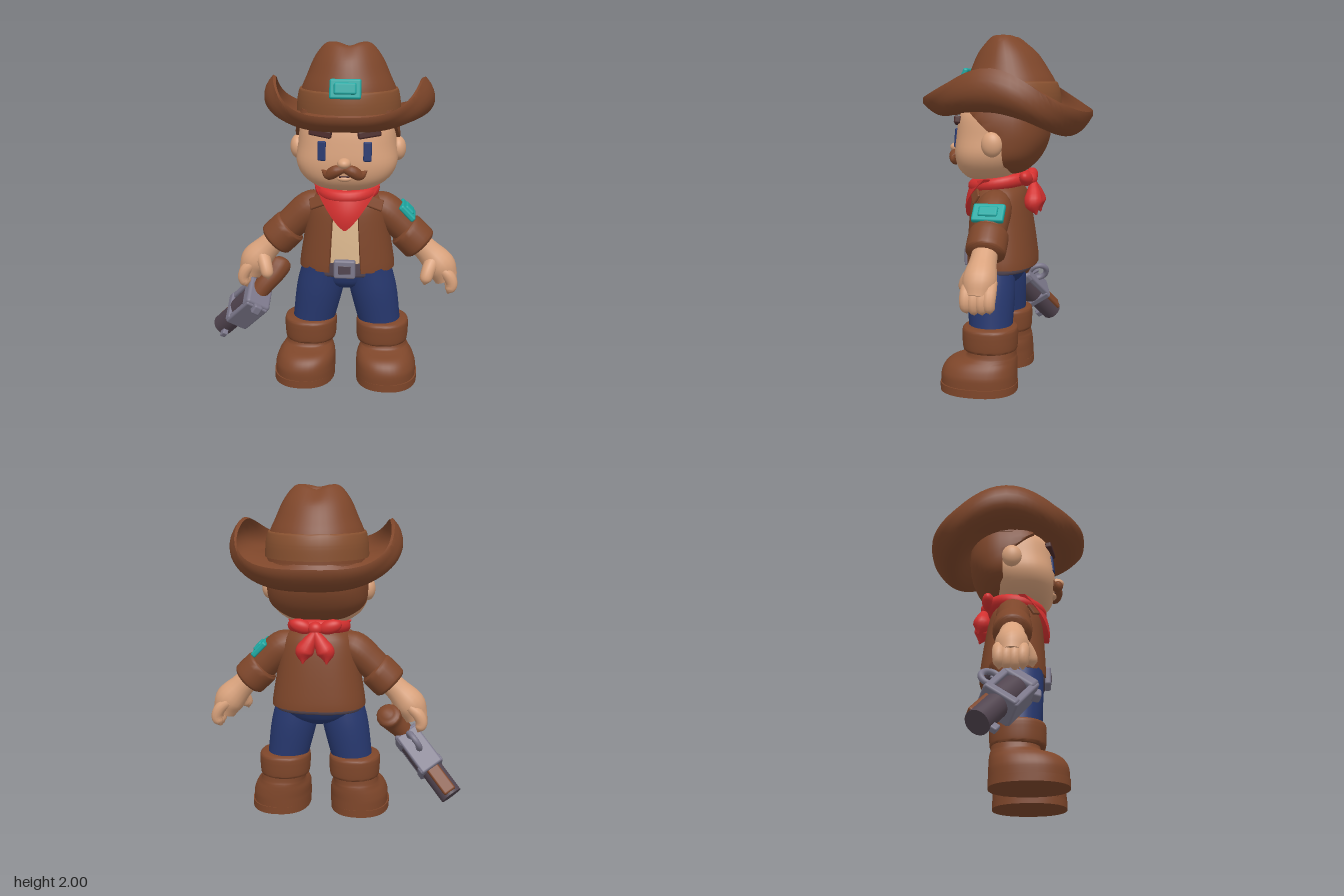
import * as THREE from 'three';
import { toCreasedNormals } from 'three/addons/utils/BufferGeometryUtils.js';
import { RoundedBoxGeometry } from 'three/addons/geometries/RoundedBoxGeometry.js';

const V = (x, y, z) => new THREE.Vector3(x, y, z);
const paint = (name, color) => { const m = new THREE.MeshStandardMaterial({ color }); m.name = name; return m; };
const M = {
  leather: paint('leather brown', 0x7e462a), trim: paint('trim brown', 0x87502f), skin: paint('skin', 0xd9a27c),
  shirt: paint('cream shirt', 0xdcb88e), red: paint('bandana red', 0xd4302f), denim: paint('denim blue', 0x27386f),
  teal: paint('teal', 0x1ea8a2), steel: paint('steel grey', 0x7c788b), dark: paint('dark metal', 0x51444f),
  brow: paint('dark brown', 0x4b2a29),
};

// Skins a list of closed cross-sections; ends are capped unless it wraps round
function loft(sections, wrap = false) {
  const n = sections[0].length, pts = sections.flat(), idx = [], m = sections.length;
  for (let i = 0; i < (wrap ? m : m - 1); i++) for (let j = 0; j < n; j++) {
    const a = i * n + j, b = i * n + (j + 1) % n, c = ((i + 1) % m) * n + j, d = ((i + 1) % m) * n + (j + 1) % n;
    idx.push(a, b, d, a, d, c);
  }
  if (!wrap) [0, m - 1].forEach((s) => {
    const c = pts.length;
    pts.push(sections[s].reduce((t, p) => t.add(p), V(0, 0, 0)).divideScalar(n));
    for (let j = 0; j < n; j++) {
      const a = s * n + j, b = s * n + (j + 1) % n;
      if (s) idx.push(a, b, c); else idx.push(b, a, c);
    }
  });
  // turn the faces outwards
  let vol = 0;
  for (let i = 0; i < idx.length; i += 3) vol += pts[idx[i]].dot(V(0, 0, 0).crossVectors(pts[idx[i + 1]], pts[idx[i + 2]]));
  if (vol < 0) idx.reverse();
  const g = new THREE.BufferGeometry().setFromPoints(pts);
  g.setIndex(idx);
  return toCreasedNormals(g, 0.9);
}

const bend = (v, e) => Math.sign(v) * Math.abs(v) ** e;
const oval = (a, y, rx, zb, zf, n) => V(rx * bend(Math.sin(a), 2 / n), y, (zf + zb) / 2 + (zf - zb) / 2 * bend(Math.cos(a), 2 / n));
// Smooth in-between rows of [y, halfWidth, backZ, frontZ]
function rows(table, steps) {
  const p = new THREE.SplineCurve(table.map((r) => new THREE.Vector2(r[0], r[1])));
  const q = new THREE.SplineCurve(table.map((r) => new THREE.Vector2(r[2], r[3])));
  return Array.from({ length: steps + 1 }, (_, i) => {
    const a = p.getPoint(i / steps), b = q.getPoint(i / steps);
    return [a.x, Math.max(a.y, 0.001), b.x, b.y];
  });
}
const stack = (table, n = 2.4, cx = 0, rule = (p) => p, steps = 24) => loft(rows(table, steps).map((r) =>
  Array.from({ length: 40 }, (_, j) => { const p = rule(oval(j / 40 * 2 * Math.PI, ...r, n)); p.x += cx; return p; })));

// Tapered tube through points
function sweep(points, radii, steps = 14, sides = 16) {
  const curve = new THREE.CatmullRomCurve3(points.map((p) => V(...p)));
  const f = curve.computeFrenetFrames(steps), rc = new THREE.SplineCurve(radii.map((r, i) => new THREE.Vector2(i, r)));
  return loft(Array.from({ length: steps + 1 }, (_, i) => {
    const c = curve.getPoint(i / steps), t = curve.getTangent(i / steps), r = Math.max(rc.getPoint(i / steps).y, 0.002);
    const u = f.normals[i].clone().addScaledVector(t, -f.normals[i].dot(t)).normalize(), w = V(0, 0, 0).crossVectors(t, u);
    return Array.from({ length: sides }, (_, j) => {
      const a = j / sides * 2 * Math.PI;
      return c.clone().addScaledVector(u, r * Math.cos(a)).addScaledVector(w, r * Math.sin(a));
    });
  }));
}

function add(parent, name, geo, mat, pos = [0, 0, 0], rot = [0, 0, 0], scale = [1, 1, 1]) {
  const m = new THREE.Mesh(geo, mat);
  m.name = name; m.position.set(...pos); m.rotation.set(...rot); m.scale.set(...scale);
  parent.add(m);
}
const box = (w, h, d, r = 0.012) => new RoundedBoxGeometry(w, h, d, 3, r);
const ball = () => new THREE.SphereGeometry(1, 28, 20);

function buildHat(body) {
  const hat = new THREE.Group(); hat.name = 'hat'; body.add(hat);
  // brim: drooping front and back, rolled up and inwards at the sides
  const brim = [];
  for (let i = 0; i < 72; i++) {
    const a = i / 72 * 2 * Math.PI, o = oval(a, 0, 0.478, -0.485, 0.48, 2.45);
    o.x *= 1 - 0.28 * o.z;
    const side = (1 - Math.min(1, Math.abs(o.z / 0.485)) ** 2) ** 1.5;
    const inn = V(0.24 * Math.sin(a), 0, 0.22 * Math.cos(a) - 0.02);
    const yi = 1.635 + 0.2 * inn.z, yo = 1.615 + 0.035 * o.z / 0.48 + 0.19 * side;
    const sag = 0.09 - 0.03 * side + 0.025 * Math.max(0, -o.z / 0.48);
    const point = (t, under) => {
      const p = inn.clone().lerp(o, t + (Math.sin(2.3 * t) - t) * side + under * 0.08 * side * t);
      p.y = yi + (yo - yi) * t * t * (1 + side * (1 - t * t)) - sag * 4 * t * (1 - t) - under * 0.028 * (1 - 1.3 * side * t ** 3);
      return p;
    };
    const sec = [];
    for (let j = 0; j <= 12; j++) sec.push(point(j / 12, 0));
    for (let j = 12; j >= 0; j--) sec.push(point(j / 12, 1));
    brim.push(sec);
  }
  add(hat, 'hatBrim', loft(brim, true), M.leather);
  // crown with a creased, dented top, pinched towards the front
  add(hat, 'hatCrown', stack([[1.58, 0.295, -0.3, 0.24], [1.72, 0.28, -0.285, 0.235], [1.82, 0.24, -0.232, 0.205], [1.91, 0.2, -0.17, 0.165],
    [1.975, 0.155, -0.1, 0.115], [2.003, 0.115, -0.06, 0.08], [1.985, 0.08, -0.04, 0.055], [1.945, 0.045, -0.02, 0.03], [1.93, 0.003, 0, 0.004]], 2, 0,
  (p) => {
    if (p.y > 1.8 && p.z > 0) p.x *= 1 - (p.y - 1.8) * p.z * 6;
    if (p.y > 1.9) p.y -= 0.25 * (p.y - 1.9) * Math.exp(-((p.x / 0.05) ** 2)) * (p.z > 0 ? 0.6 : 1);
    return p;
  }, 32), M.leather);
  add(hat, 'hatBand', stack([[1.6, 0.302, -0.31, 0.25], [1.68, 0.298, -0.305, 0.25], [1.74, 0.285, -0.287, 0.24], [1.745, 0.27, -0.27, 0.225]], 2), M.trim);
  add(hat, 'hatBuckle', box(0.175, 0.11, 0.03), M.teal, [0, 1.768, 0.24], [-0.25, 0, 0]);
  add(hat, 'hatBuckleCentre', box(0.125, 0.065, 0.03), M.teal, [0, 1.771, 0.25], [-0.25, 0, 0]);
}

function buildHead(body) {
  const head = new THREE.Group(); head.name = 'head'; body.add(head);
  add(head, 'face', stack([[1.185, 0.08, 0.02, 0.18], [1.205, 0.17, -0.04, 0.23], [1.26, 0.25, -0.1, 0.272], [1.34, 0.29, -0.15, 0.288],
    [1.44, 0.283, -0.2, 0.282], [1.55, 0.27, -0.2, 0.265], [1.61, 0.24, -0.2, 0.23]], 2.7), M.skin);
  // hair wraps the back of the head, stepping forward above the ears
  const hairline = (y) => Math.max(-0.03, Math.min(0.16, -0.03 + (y - 1.41) * 1.15));
  add(head, 'hair', stack([[1.225, 0.12, -0.08, 0.1], [1.25, 0.2, -0.125, 0.18], [1.32, 0.28, -0.19, 0.24], [1.42, 0.3, -0.235, 0.27],
    [1.53, 0.298, -0.24, 0.275], [1.64, 0.27, -0.23, 0.25]], 2.7, 0, (p) => { p.z = Math.min(p.z, hairline(p.y)); return p; }), M.leather);
  add(head, 'nose', ball(), M.skin, [0, 1.367, 0.3], [0, 0, 0], [0.038, 0.03, 0.045]);
  add(head, 'lowerLip', ball(), M.skin, [0, 1.275, 0.272], [0, 0, 0], [0.04, 0.018, 0.025]);
  add(head, 'mouth', box(0.06, 0.01, 0.012, 0.004), M.brow, [0, 1.288, 0.285]);
  for (const s of [-1, 1]) {
    add(head, 'ear', ball(), M.skin, [s * 0.292, 1.405, 0.025], [0, 0, 0], [0.045, 0.07, 0.06]);
    add(head, 'eye', box(0.047, 0.11, 0.018, 0.008), M.denim, [s * 0.127, 1.43, 0.272], [-0.08, s * 0.18, 0]);
    add(head, 'eyebrow', box(0.13, 0.042, 0.04, 0.01), M.brow, [s * 0.135, 1.528, 0.26], [-0.1, s * 0.22, s * 0.16]);
    add(head, 'moustache', sweep([[0, 1.335, 0.3], [s * 0.045, 1.325, 0.305], [s * 0.09, 1.3, 0.288], [s * 0.13, 1.33, 0.27]],
      [0.02, 0.033, 0.028, 0.003]), M.leather);
  }
}

function buildTorso(body) {
  const torso = new THREE.Group(); torso.name = 'torso'; body.add(torso);
  add(torso, 'neck', new THREE.CylinderGeometry(0.12, 0.13, 0.14, 28), M.skin, [0, 1.17, 0.05]);
  add(torso, 'shirt', stack([[0.7, 0.25, -0.13, 0.205], [0.9, 0.22, -0.12, 0.2], [1.05, 0.19, -0.1, 0.185], [1.16, 0.12, -0.05, 0.14]]), M.shirt);
  // jacket: an open shell with a gap down the front
  const table = rows([[0.695, 0.283, -0.175, 0.225], [0.75, 0.278, -0.172, 0.225], [0.92, 0.25, -0.15, 0.218], [1.06, 0.228, -0.125, 0.205],
    [1.13, 0.19, -0.1, 0.18], [1.18, 0.12, -0.05, 0.13]], 16);
  const coat = [];
  for (let i = 0; i <= 56; i++) {
    const a = 0.27 + i / 56 * (2 * Math.PI - 0.54);
    const outer = table.map((r) => oval(a, ...r, 2.4));
    const inner = table.map(([y, rx, zb, zf]) => oval(a, y, rx - 0.022, zb + 0.022, zf - 0.022, 2.4));
    coat.push([...outer, ...inner.reverse()]);
  }
  add(torso, 'jacket', loft(coat), M.leather);
  add(torso, 'belt', stack([[0.665, 0.255, -0.14, 0.208], [0.68, 0.262, -0.15, 0.216], [0.75, 0.258, -0.15, 0.214]]), M.dark);
  add(torso, 'beltBuckle', box(0.125, 0.11, 0.04), M.steel, [0, 0.725, 0.23]);
  add(torso, 'beltBucklePlate', box(0.075, 0.05, 0.012, 0.004), M.dark, [0, 0.725, 0.248]);
  add(torso, 'hips', stack([[0.58, 0.08, -0.05, 0.15], [0.62, 0.19, -0.09, 0.182], [0.7, 0.25, -0.135, 0.205]]), M.denim);
  for (const s of [-1, 1]) add(torso, 'collarFlap', box(0.13, 0.07, 0.018, 0.008), M.leather, [s * 0.155, 1.11, 0.155], [-0.5, s * 0.5, -s * 0.2]);

  // bandana: neck roll, front triangle, knot and tails behind
  const band = new THREE.Group(); band.name = 'bandana'; torso.add(band);
  add(band, 'neckRoll', new THREE.TorusGeometry(0.15, 0.04, 14, 40), M.red, [0, 1.172, 0.045], [Math.PI / 2 + 0.17, 0, 0]);
  const cloth = [];
  for (let i = 0; i <= 10; i++) {
    const t = i / 10, w = 0.185 * (1 - t) ** 0.82 + 0.006, sec = [];
    for (const [k, dir] of [[0, 1], [0.04, -1]]) for (let j = -6; j <= 6; j++) {
      const x = dir * j / 6 * w;
      sec.push(V(x, 1.2 - 0.24 * t - 0.03 * (1 - t) * (1 - (j / 6) ** 2), 0.215 + 0.035 * Math.sin(t * 2.2) - k - x * x * 3.2));
    }
    cloth.push(sec);
  }
  add(band, 'frontTriangle', loft(cloth), M.red);
  add(band, 'knot', ball(), M.red, [0, 1.19, -0.135], [0, 0, 0], [0.045, 0.04, 0.04]);
  for (const s of [-1, 1]) {
    add(band, 'knotLoop', ball(), M.red, [s * 0.085, 1.2, -0.125], [0, 0, s * 0.3], [0.07, 0.042, 0.038]);
    add(band, 'knotTail', sweep([[0, 1.175, -0.15], [s * 0.035, 1.11, -0.16], [s * 0.065, 1.05, -0.165], [s * 0.07, 0.99, -0.185]],
      [0.02, 0.042, 0.052, 0.004]), M.red);
  }
}

function buildArm(body, s) {
  const arm = new THREE.Group(); arm.name = s > 0 ? 'leftArm' : 'rightArm'; body.add(arm);
  add(arm, 'sleeve', sweep([[s * 0.12, 1.08, 0.03], [s * 0.21, 1.045, 0.03], [s * 0.31, 0.96, 0.03], [s * 0.4, 0.87, 0.03]], [0.07, 0.1, 0.097, 0.09]), M.leather);
  add(arm, 'sleeveCuff', sweep([[s * 0.335, 0.925, 0.03], [s * 0.345, 0.916, 0.03], [s * 0.43, 0.832, 0.03], [s * 0.44, 0.822, 0.03]], [0.095, 0.11, 0.11, 0.095], 14, 24), M.leather);
  add(arm, 'palm', sweep([[s * 0.41, 0.85, 0.03], [s * 0.48, 0.785, 0.03], [s * 0.555, 0.7, 0.03], [s * 0.595, 0.62, 0.03]], [0.07, 0.075, 0.093, 0.072]), M.skin);
  [0.088, 0.046, 0.004, -0.036].forEach((z, i) => add(arm, 'finger', sweep([[s * 0.55, 0.7, z], [s * 0.605, 0.655, z], [s * 0.628, 0.6, z],
    [s * 0.615, 0.555 + Math.abs(i - 1.3) * 0.008, z], [s * 0.605, 0.53 + Math.abs(i - 1.3) * 0.008, z]], [0.03, 0.037, 0.034, 0.028, 0.004], 14, 12), M.skin));
  add(arm, 'thumb', sweep([[s * 0.51, 0.74, 0.07], [s * 0.485, 0.69, 0.115], [s * 0.47, 0.64, 0.135], [s * 0.465, 0.61, 0.14]], [0.045, 0.04, 0.034, 0.004]), M.skin);
  if (s > 0) {
    add(arm, 'sleevePatch', box(0.115, 0.035, 0.18), M.teal, [0.354, 1.035, 0.03], [0, 0, -0.8]);
    add(arm, 'sleevePatchCentre', box(0.065, 0.03, 0.11), M.teal, [0.364, 1.045, 0.03], [0, 0, -0.8]);
  }
}

function buildLeg(body, s) {
  const leg = new THREE.Group(); leg.name = s > 0 ? 'leftLeg' : 'rightLeg'; body.add(leg);
  add(leg, 'trouserLeg', sweep([[s * 0.128, 0.7, 0.07], [s * 0.165, 0.54, 0.062], [s * 0.21, 0.3, 0.055]], [0.135, 0.138, 0.122], 12, 28), M.denim);
  add(leg, 'boot', stack([[0.045, 0.18, -0.106, 0.332], [0.1, 0.179, -0.106, 0.331], [0.145, 0.17, -0.105, 0.312], [0.175, 0.154, -0.103, 0.275],
    [0.192, 0.143, -0.1, 0.215], [0.215, 0.137, -0.095, 0.18], [0.32, 0.132, -0.088, 0.175]], 2.3, s * 0.245,
  (p) => { p.x -= s * Math.max(0, p.y - 0.1) * 0.16; return p; }), M.leather);
  add(leg, 'bootSole', stack([[0, 0.183, -0.109, 0.336], [0.045, 0.183, -0.109, 0.336]], 2.3, s * 0.25, undefined, 2), M.leather);
  add(leg, 'bootCuff', stack([[0.228, 0.14, -0.09, 0.195], [0.24, 0.152, -0.1, 0.208], [0.3, 0.157, -0.104, 0.213], [0.355, 0.155, -0.102, 0.211], [0.37, 0.135, -0.082, 0.19]],
    2.2, s * 0.218), M.leather);
}

function buildRevolver(parent) {
  // local +x runs along the barrel, +y to the sight side
  const gun = new THREE.Group(); gun.name = 'revolver'; parent.add(gun);
  const d = V(-0.61, -0.66, -0.43).normalize(), u = V(0, 0, 1).addScaledVector(d, -d.z).normalize().applyAxisAngle(d, -0.38);
  const w = V(0, 0, 0).crossVectors(d, u);
  gun.quaternion.setFromRotationMatrix(new THREE.Matrix4().makeBasis(d, u, w));
  gun.position.set(-0.7, 0.2, -0.12);
  add(gun, 'barrel', toCreasedNormals(new THREE.CylinderGeometry(0.068, 0.068, 0.23, 20), 0.9), M.dark, [-0.09, 0, 0], [0, 0, Math.PI / 2]);
  add(gun, 'foreGrip', box(0.19, 0.05, 0.08), M.leather, [-0.085, -0.05, 0]);
  add(gun, 'sight', box(0.05, 0.05, 0.035, 0.008), M.steel, [-0.01, 0.075, 0]);
  add(gun, 'frameFront', box(0.05, 0.19, 0.16), M.steel, [-0.19, 0, 0]);
  add(gun, 'frameRear', box(0.08, 0.19, 0.16, 0.02), M.steel, [-0.41, 0, 0]);
  for (const y of [-0.08, 0.085]) add(gun, 'frameStrap', box(0.27, 0.04, 0.145), M.steel, [-0.3, y, 0]);
  add(gun, 'drum', toCreasedNormals(new THREE.CylinderGeometry(0.079, 0.079, 0.16, 20), 0.9), M.dark, [-0.29, 0, 0], [0, 0, Math.PI / 2]);
  add(gun, 'hammer', box(0.06, 0.07, 0.055), M.steel, [-0.42, 0.1, 0], [0, 0, 0.5]);
  add(gun, 'triggerGuard', new THREE.TorusGeometry(0.055, 0.018, 10, 28), M.steel, [-0.35, -0.13, 0]);
  add(gun, 'trigger', box(0.015, 0.06, 0.015, 0.005), M.steel, [-0.36, -0.11, 0]);
  add(gun, 'gunGrip', sweep([[-0.41, -0.02, 0], [-0.47, -0.065, -0.01], [-0.525, -0.12, -0.03], [-0.56, -0.185, -0.04], [-0.567, -0.215, -0.04]],
    [0.058, 0.06, 0.066, 0.074, 0.03]), M.leather);
}

export function createModel() {
  const model = new THREE.Group(); model.name = 'gunslinger';
  const body = new THREE.Group(); body.name = 'body'; body.position.x = 0.1; model.add(body);
  buildHat(body);
  buildHead(body);
  buildTorso(body);
  for (const s of [-1, 1]) { buildArm(body, s); buildLeg(body, s); }
  buildRevolver(model);
  return model;
}
